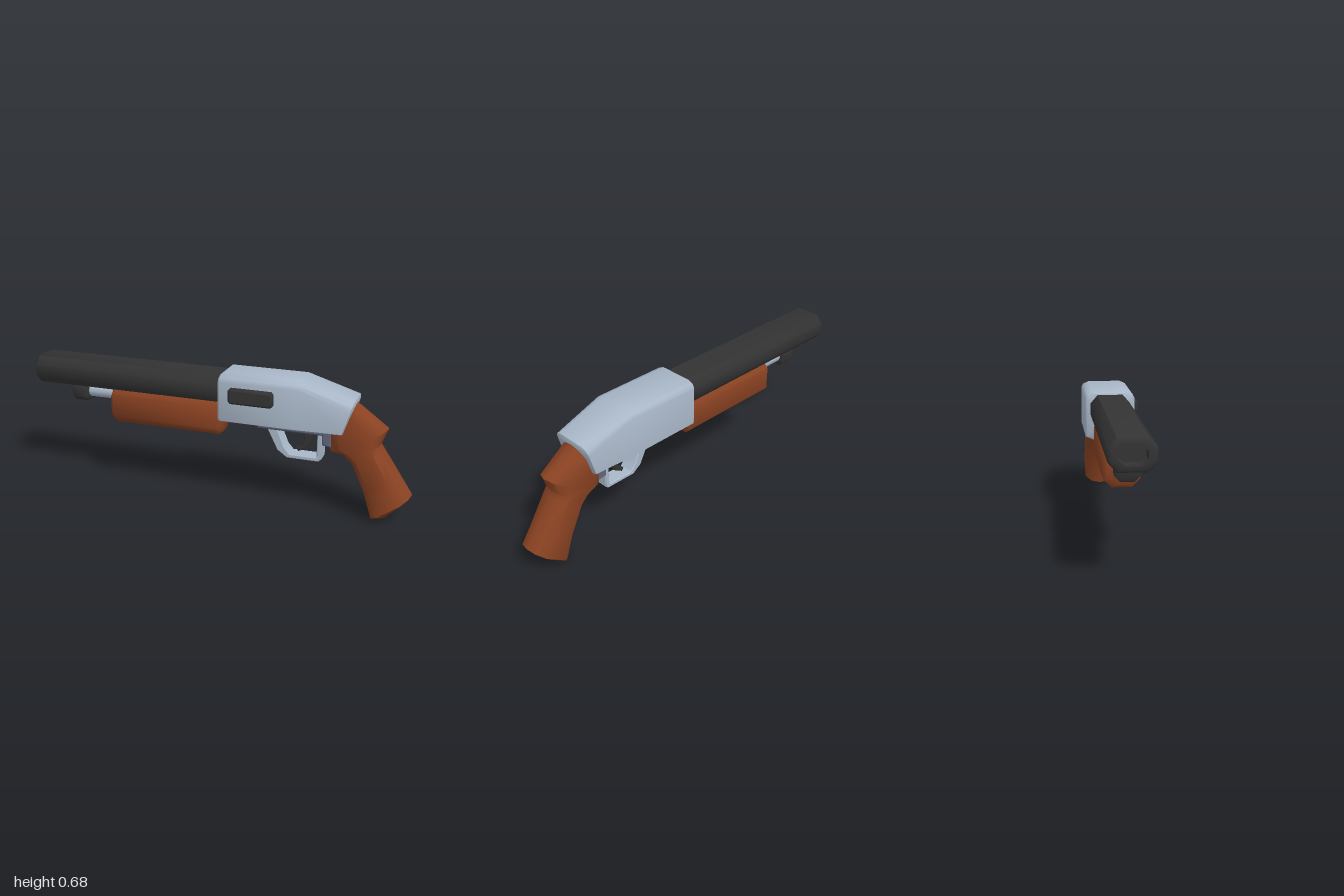
import * as THREE from 'three';
import { toCreasedNormals } from 'three/addons/utils/BufferGeometryUtils.js';

const MID_Z = -0.0125;
const material = (name, color) => {
  const m = new THREE.MeshStandardMaterial({ color });
  m.name = name;
  return m;
};

// Skin closed rings of [x, y, z] points and close both ends with fans
function loft(rings, startTip, endTip) {
  const n = rings[0].length;
  const pos = rings.flat(2);
  const index = [];
  for (let r = 0; r < rings.length - 1; r++) {
    for (let i = 0; i < n; i++) {
      const a = r * n + i, b = r * n + (i + 1) % n;
      index.push(a, a + n, b, b, a + n, b + n);
    }
  }
  const centre = (ring) => [0, 1, 2].map((k) => ring.reduce((s, p) => s + p[k], 0) / n);
  const last = (rings.length - 1) * n;
  const tip = rings.length * n;
  pos.push(...(startTip || centre(rings[0])), ...(endTip || centre(rings[rings.length - 1])));
  for (let i = 0; i < n; i++) {
    const j = (i + 1) % n;
    index.push(tip, i, j, tip + 1, last + j, last + i);
  }
  const g = new THREE.BufferGeometry();
  g.setAttribute('position', new THREE.Float32BufferAttribute(pos, 3));
  g.setIndex(index);
  return toCreasedNormals(g, 0.85);
}

// Chamfered rectangular ring across the x axis
function octagon(x, y, hw, hh, cw, ch) {
  return [
    [hw, -hh + ch], [hw, hh - ch], [hw - cw, hh], [-hw + cw, hh],
    [-hw, hh - ch], [-hw, -hh + ch], [-hw + cw, -hh], [hw - cw, -hh],
  ].map(([z, dy]) => [x, y + dy, z]);
}

// Solid bar along x with small end bevels
function bar(x0, x1, y, hw, hh, cw, ch, bevel) {
  return loft([
    octagon(x0, y, hw - bevel, hh - bevel, cw, ch),
    octagon(x0 + bevel, y, hw, hh, cw, ch),
    octagon(x1 - bevel, y, hw, hh, cw, ch),
    octagon(x1, y, hw - bevel, hh - bevel, cw, ch),
  ]);
}

// Side outline given thickness in z
function plate(points, depth, hole, bevel = 0.008) {
  const toVec = (list) => list.map(([x, y]) => new THREE.Vector2(x, y));
  const shape = new THREE.Shape(toVec(points));
  if (hole) shape.holes.push(new THREE.Path(toVec(hole)));
  const g = new THREE.ExtrudeGeometry(shape, {
    depth: depth - 2 * bevel, bevelEnabled: true, bevelSize: bevel,
    bevelThickness: bevel, bevelOffset: -bevel, bevelSegments: 1,
  });
  g.translate(0, 0, -depth / 2 + bevel);
  return toCreasedNormals(g, 0.6);
}

// Receiver cross-section, leaning between bottom and top x
function receiverRing(xBottom, xTop, bottom, top, hw, round) {
  const half = [
    [hw * 0.66, bottom], [hw, bottom + 0.018], [hw, top - round],
    [hw * 0.92, top - round * 0.4], [hw * 0.68, top],
  ];
  const all = [...half, ...half.slice().reverse().map(([z, y]) => [-z, y])];
  return all.map(([z, y]) => [xBottom + (xTop - xBottom) * (y - bottom) / (top - bottom), y, z]);
}

// Grip cross-section between its front and rear points
function gripRing([fx, fy, bx, by]) {
  const hw = 0.083;
  const half = [[0, 0], [0.06, 0.05], [0.23, hw], [0.77, hw], [0.94, 0.05], [1, 0]];
  const all = [...half, ...half.slice(1, -1).reverse().map(([t, z]) => [t, -z])];
  return all.map(([t, z]) => [fx + (bx - fx) * t, fy + (by - fy) * t, z]);
}

export function createModel() {
  const group = new THREE.Group();
  const dark = material('dark steel', 0x333333);
  const metal = material('pale steel', 0xa9b7c8);
  const slate = material('slate steel', 0x5f6679);
  const wood = material('red brown wood', 0x8a4222);
  const add = (name, geometry, mat) => {
    const mesh = new THREE.Mesh(geometry, mat);
    mesh.name = name;
    mesh.position.z = MID_Z;
    group.add(mesh);
    return mesh;
  };

  // Barrel with a recessed bore
  add('barrel', loft([
    octagon(-0.93, 0.6, 0.06, 0.042, 0.028, 0.024),
    octagon(-1, 0.6, 0.06, 0.042, 0.028, 0.024),
    octagon(-1, 0.6, 0.088, 0.06, 0.035, 0.035),
    octagon(-0.988, 0.6, 0.1, 0.071, 0.036, 0.042),
    octagon(0.06, 0.6, 0.1, 0.071, 0.036, 0.042),
  ]), dark);

  // Magazine tube, its cap and the sliding fore-end
  const tube = add('magazineTube', new THREE.CylinderGeometry(0.036, 0.036, 0.3, 12), metal);
  tube.rotation.z = Math.PI / 2;
  tube.position.set(-0.62, 0.494, MID_Z);
  add('magazineCap', bar(-0.81, -0.718, 0.495, 0.055, 0.055, 0.025, 0.025, 0.01), dark);
  add('foreEnd', bar(-0.572, 0.04, 0.45, 0.085, 0.1, 0.04, 0.04, 0.018), wood);

  // Receiver, tapering and dropping towards the rear
  add('receiver', loft([
    receiverRing(0.038, 0.038, 0.446, 0.677, 0.116, 0.03),
    receiverRing(0.048, 0.048, 0.437, 0.685, 0.125, 0.032),
    receiverRing(0.44, 0.44, 0.437, 0.685, 0.125, 0.032),
    receiverRing(0.652, 0.703, 0.437, 0.608, 0.113, 0.042),
    receiverRing(0.655, 0.707, 0.442, 0.596, 0.1, 0.042),
  ]), metal);

  // Ejection port cover on the front-facing side
  const port = add('ejectionPort', plate(
    [[0.11, 0.553], [0.313, 0.553], [0.325, 0.565], [0.325, 0.62],
      [0.313, 0.632], [0.11, 0.632], [0.098, 0.62], [0.098, 0.565]], 0.04, null, 0.01), dark);
  port.position.z = 0.117;

  // Trigger plate, guard and trigger
  add('triggerPlate', plate(
    [[0.225, 0.415], [0.55, 0.415], [0.555, 0.365], [0.6, 0.36], [0.6, 0.445], [0.225, 0.445]],
    0.12), slate);
  add('triggerGuard', plate(
    [[0.265, 0.425], [0.325, 0.305], [0.375, 0.27], [0.535, 0.27], [0.55, 0.285], [0.55, 0.425]],
    0.08,
    [[0.325, 0.413], [0.362, 0.325], [0.39, 0.292], [0.525, 0.292], [0.525, 0.413]], 0.005), metal);
  add('trigger', plate(
    [[0.44, 0.425], [0.458, 0.38], [0.448, 0.345], [0.418, 0.32], [0.428, 0.304],
      [0.475, 0.332], [0.495, 0.375], [0.503, 0.425]], 0.04, null, 0.005), dark);

  // Pistol grip with a domed butt
  add('grip', loft([
    [0.585, 0.415, 0.703, 0.585],
    [0.583, 0.33, 0.862, 0.475],
    [0.65, 0.326, 0.83, 0.393],
    [0.695, 0.285, 0.842, 0.37],
    [0.758, 0.145, 0.915, 0.265],
    [0.8, 0.006, 0.995, 0.15],
  ].map(gripRing), null, [0.868, 0.003, 0]), wood);

  return group;
}
